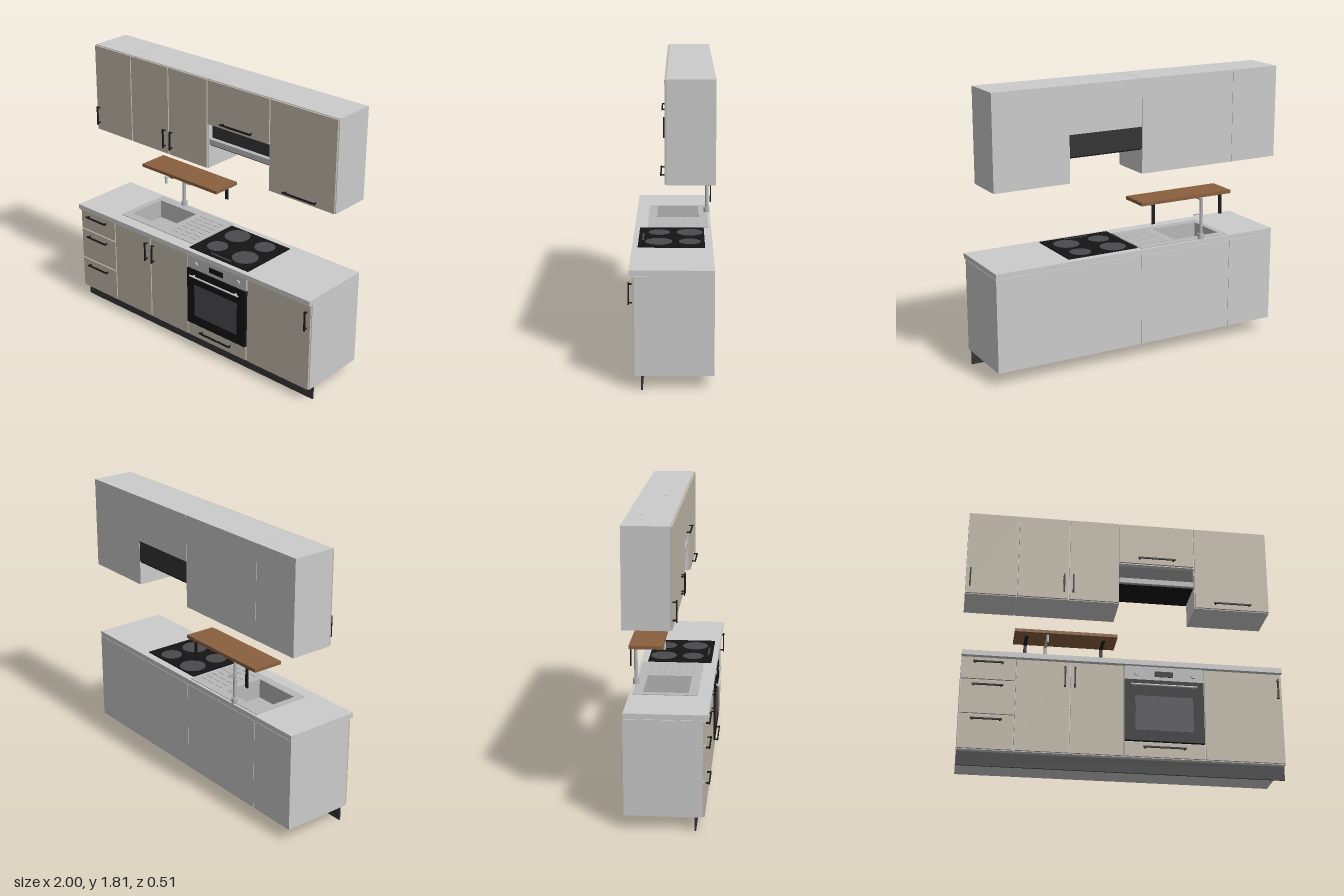
import * as THREE from 'three';

const mat = (color) => new THREE.MeshStandardMaterial({ color });
const GREY = mat(0xcccccc), FRONT = mat(0xc0b7a8), DARK = mat(0x333333), BLACK = mat(0x141414);
const GLASS = mat(0x4a4a4e), STEEL = mat(0xb8b8b8), WOOD = mat(0x8a6040), HANDLE = mat(0x1c1c1c);
const BACK = -0.255;

export function createModel() {
  const model = new THREE.Group();
  model.name = 'kitchen';

  const add = (parent, name, geometry, material) => {
    const mesh = new THREE.Mesh(geometry, material);
    mesh.name = name;
    parent.add(mesh);
    return mesh;
  };
  const group = (name) => {
    const g = new THREE.Group();
    g.name = name;
    model.add(g);
    return g;
  };
  // Box given by its limits on each axis
  const box = (parent, name, [x0, x1], [y0, y1], [z0, z1], material) => {
    const mesh = add(parent, name, new THREE.BoxGeometry(x1 - x0, y1 - y0, z1 - z0), material);
    mesh.position.set((x0 + x1) / 2, (y0 + y1) / 2, (z0 + z1) / 2);
    return mesh;
  };
  const disc = (parent, name, r, h, x, y, z, material, sides = 32) => {
    const mesh = add(parent, name, new THREE.CylinderGeometry(r, r, h, sides), material);
    mesh.position.set(x, y, z);
    return mesh;
  };
  // Flat slab with a rectangular hole, limits in x and z
  const slab = (parent, name, [x0, x1], [z0, z1], y0, y1, hole, material) => {
    const rect = (C, a, b, c, d) => {
      const p = new C();
      p.moveTo(a, c); p.lineTo(b, c); p.lineTo(b, d); p.lineTo(a, d); p.closePath();
      return p;
    };
    const shape = rect(THREE.Shape, x0, x1, -z1, -z0);
    shape.holes.push(rect(THREE.Path, hole.x[0], hole.x[1], -hole.z[1], -hole.z[0]));
    const g = new THREE.ExtrudeGeometry(shape, { depth: y1 - y0, bevelEnabled: false });
    g.rotateX(-Math.PI / 2).translate(0, y0, 0);
    return add(parent, name, g, material);
  };
  // Bar handle on two posts; z is the face it is fixed to
  const handle = (parent, x, y, z, length, vertical) => {
    const h = new THREE.Group();
    h.name = 'handle';
    const half = length / 2;
    box(h, 'handleBar', [-half, half], [-0.005, 0.005], [0.018, 0.026], HANDLE);
    for (const s of [-1, 1]) {
      const px = s * (half - 0.012);
      box(h, 'handlePost', [px - 0.004, px + 0.004], [-0.004, 0.004], [0, 0.02], HANDLE);
    }
    h.position.set(x, y, z);
    if (vertical) h.rotation.z = Math.PI / 2;
    parent.add(h);
  };
  const gap = 0.004;
  const front = (parent, name, [x0, x1], [y0, y1], z) =>
    box(parent, name, [x0 + gap, x1 - gap], [y0 + gap, y1 - gap], [z, z + 0.013], FRONT);

  // Wall cabinets
  const wall = group('wallCabinets');
  const wallZ = 0.02, wy = [1.213, 1.808];
  for (const [x0, x1, y0] of [[-1, -0.667, wy[0]], [-0.665, -0.001, wy[0]], [0.001, 0.5, 1.51], [0.5, 1, wy[0]]])
    box(wall, 'wallCarcass', [x0, x1], [y0, wy[1]], [BACK, wallZ], GREY);
  for (const [x0, x1, y0] of [[-1, -0.667, wy[0]], [-0.667, -0.333, wy[0]], [-0.333, 0, wy[0]], [0, 0.5, 1.512], [0.5, 1, wy[0]]])
    front(wall, 'wallDoor', [x0, x1], [y0, wy[1]], wallZ);
  for (const x of [-0.973, -0.365, -0.305]) handle(wall, x, 1.322, 0.033, 0.13, true);
  handle(wall, 0.248, 1.548, 0.033, 0.25);
  handle(wall, 0.75, 1.248, 0.033, 0.25);

  // Extractor hood below the short wall cabinet
  const hood = group('extractorHood');
  box(hood, 'hoodBody', [0.002, 0.498], [1.375, 1.51], [BACK, -0.015], DARK);
  box(hood, 'hoodFilter', [0.004, 0.496], [1.366, 1.375], [BACK + 0.005, 0.005], BLACK);
  box(hood, 'hoodStrip', [0.002, 0.498], [1.375, 1.41], [-0.015, 0.015], STEEL);

  // Base cabinets
  const base = group('baseCabinets');
  const baseZ = 0.207, faceZ = 0.22, by = [0.087, 0.684];
  box(base, 'drawerCarcass', [-1, -0.667], by, [BACK, baseZ], GREY);
  box(base, 'rightCarcass', [0.001, 1], by, [BACK, baseZ], GREY);
  // The sink cabinet is hollow so the bowl can hang in it
  const sx = [-0.665, -0.001];
  box(base, 'sinkCabinetBottom', sx, [by[0], 0.1], [BACK, baseZ], GREY);
  box(base, 'sinkCabinetBack', sx, by, [BACK, BACK + 0.01], GREY);
  box(base, 'sinkCabinetFront', sx, by, [baseZ - 0.01, baseZ], GREY);
  for (const x of [sx[0], sx[1] - 0.01])
    box(base, 'sinkCabinetSide', [x, x + 0.01], by, [BACK, baseZ], GREY);
  for (const [y0, y1, hy] of [[0.535, 0.684, 0.645], [0.311, 0.535, 0.494], [0.087, 0.311, 0.273]]) {
    front(base, 'drawerFront', [-1, -0.667], [y0, y1], baseZ);
    handle(base, -0.836, hy, faceZ, 0.19);
  }
  for (const x of [[-0.667, -0.333], [-0.333, 0], [0.5, 1]]) front(base, 'baseDoor', x, by, baseZ);
  for (const x of [-0.366, -0.305, 0.97]) handle(base, x, 0.575, faceZ, 0.135, true);
  front(base, 'ovenDrawer', [0, 0.5], [0.087, 0.185], baseZ);
  handle(base, 0.248, 0.147, faceZ, 0.265);
  box(base, 'plinth', [-1, 1], [0, 0.087], [0.16, 0.17], DARK);

  // Oven
  const oven = group('oven');
  box(oven, 'ovenPanel', [0.004, 0.496], [0.592, 0.682], [baseZ, 0.224], STEEL);
  box(oven, 'ovenDisplay', [0.19, 0.305], [0.615, 0.652], [0.22, 0.226], BLACK);
  for (const x of [0.078, 0.432])
    disc(oven, 'ovenKnob', 0.016, 0.012, x, 0.633, 0.229, STEEL).rotation.x = Math.PI / 2;
  box(oven, 'ovenDoor', [0.004, 0.496], [0.19, 0.59], [baseZ, 0.23], BLACK);
  box(oven, 'ovenWindow', [0.067, 0.428], [0.257, 0.483], [0.225, 0.2315], GLASS);
  disc(oven, 'ovenHandle', 0.006, 0.41, 0.247, 0.55, 0.249, GREY, 16).rotation.z = Math.PI / 2;
  for (const x of [0.07, 0.424])
    box(oven, 'ovenHandlePost', [x - 0.005, x + 0.005], [0.545, 0.555], [0.228, 0.249], GREY);

  // Worktop
  const top = 0.719;
  const bowl = { x: [-0.63, -0.285], z: [-0.185, 0.107] };
  slab(model, 'worktop', [-1, 1], [BACK, 0.238], 0.686, top, bowl, GREY);

  // Sink with bowl and draining board
  const sink = group('sink');
  slab(sink, 'sinkRim', [-0.662, -0.012], [-0.237, 0.155], top, top + 0.004,
    { x: [-0.622, -0.293], z: [-0.177, 0.099] }, STEEL);
  const bowlY = [0.59, top + 0.002], t = 0.008;
  for (const x of [bowl.x[0], bowl.x[1] - t]) box(sink, 'bowlSide', [x, x + t], bowlY, bowl.z, STEEL);
  for (const z of [bowl.z[0], bowl.z[1] - t]) box(sink, 'bowlEnd', bowl.x, bowlY, [z, z + t], STEEL);
  box(sink, 'bowlFloor', bowl.x, [0.585, 0.595], bowl.z, STEEL);
  disc(sink, 'drain', 0.03, 0.006, -0.458, 0.597, -0.04, GLASS);
  for (let row = 0; row < 7; row++)
    for (let col = 0; col < 3; col++) {
      const x = -0.245 + col * 0.075, z = -0.17 + row * 0.045;
      box(sink, 'drainRidge', [x, x + 0.055], [top + 0.002, top + 0.007], [z - 0.004, z + 0.004], STEEL);
    }

  // Tap
  const tap = group('tap');
  const tx = -0.455, tz = -0.235;
  disc(tap, 'tapBase', 0.02, 0.035, tx, 0.738, tz, STEEL);
  disc(tap, 'tapColumn', 0.011, 0.245, tx, 0.87, tz, STEEL);
  disc(tap, 'spoutArm', 0.0085, 0.19, tx, 0.984, -0.148, STEEL, 20).rotation.x = Math.PI / 2;
  disc(tap, 'spoutEnd', 0.0085, 0.05, tx, 0.967, -0.06, STEEL, 20);
  disc(tap, 'tapLever', 0.005, 0.05, tx + 0.03, 0.888, tz, STEEL, 16).rotation.z = Math.PI / 2;

  // Hob
  const hob = group('hob');
  box(hob, 'hobGlass', [0.002, 0.492], [top, 0.725], [-0.207, 0.203], BLACK);
  for (const [x, z, r] of [[0.13, 0.077, 0.068], [0.362, 0.077, 0.084], [0.13, -0.115, 0.084], [0.362, -0.115, 0.068]])
    disc(hob, 'cookingZone', r, 0.003, x, 0.725, z, GLASS, 40);
  box(hob, 'hobControls', [0.16, 0.33], [0.723, 0.7265], [0.17, 0.181], GLASS);

  // Wooden shelf on angle brackets
  const shelf = group('shelf');
  box(shelf, 'shelfBoard', [-0.667, 0], [1.003, 1.024], [BACK, -0.053], WOOD);
  for (const x of [-0.587, -0.085]) {
    box(shelf, 'bracketUpright', [x - 0.011, x + 0.011], [0.876, 1.003], [BACK, BACK + 0.008], HANDLE);
    box(shelf, 'bracketArm', [x - 0.011, x + 0.011], [0.996, 1.003], [BACK, -0.095], HANDLE);
  }
  return model;
}
